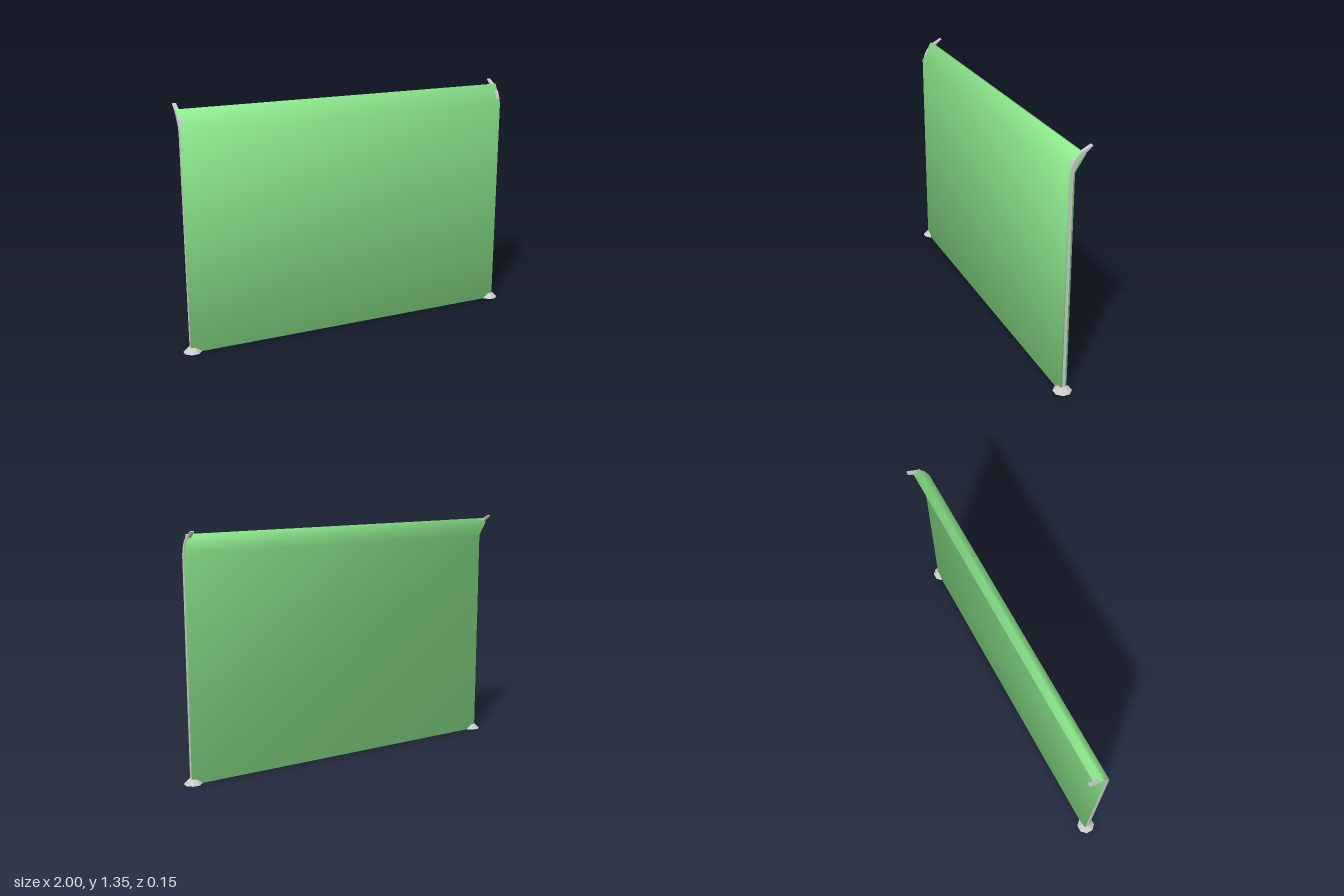
import * as THREE from 'three';

// Panel side profile as [z, y], counter-clockwise seen from +x with z to the right
const PANEL = [[0.045, 0], [0.045, 1.225], [-0.01, 1.33], [-0.045, 1.31], [0.01, 1.225], [0.01, 0]];
const HALF_WIDTH = 0.964;

// Sheet with soft normals shared across all its edges
function panelGeometry() {
  const n = PANEL.length, pos = [], nor = [], idx = [];
  const edgeNormal = (i) => {
    const a = PANEL[(i + n) % n], b = PANEL[(i + 1) % n];
    return new THREE.Vector3(0, -(b[0] - a[0]), b[1] - a[1]).normalize();
  };
  for (const side of [-1, 1]) {
    PANEL.forEach(([z, y], i) => {
      pos.push(side * HALF_WIDTH, y, z);
      const v = edgeNormal(i - 1).add(edgeNormal(i));
      v.x = side;
      nor.push(...v.normalize().toArray());
    });
  }
  for (let i = 0; i < n; i++) {
    const j = (i + 1) % n;
    idx.push(i, n + i, n + j, i, n + j, j);
  }
  // End caps
  const caps = THREE.ShapeUtils.triangulateShape(PANEL.map(([z, y]) => new THREE.Vector2(z, y)), []);
  for (const [a, b, c] of caps) {
    const [p, q, r] = [PANEL[a], PANEL[b], PANEL[c]];
    const ccw = (q[0] - p[0]) * (r[1] - p[1]) - (q[1] - p[1]) * (r[0] - p[0]) > 0;
    const [s, t] = ccw ? [b, c] : [c, b];
    idx.push(a, s, t, n + a, n + t, n + s);
  }
  const g = new THREE.BufferGeometry();
  g.setAttribute('position', new THREE.Float32BufferAttribute(pos, 3));
  g.setAttribute('normal', new THREE.Float32BufferAttribute(nor, 3));
  g.setIndex(idx);
  return g;
}

// Flat upright bar, curving back at the top to a thin tip
function postGeometry() {
  const outline = [
    [0.035, 0], [0.036, 1.22], [0.033, 1.25], [0.0195, 1.28], [0.003, 1.301], [-0.025, 1.325], [-0.075, 1.351],
    [-0.078, 1.346], [-0.032, 1.308], [-0.005, 1.282], [0.011, 1.25], [0.02, 1.21], [0.02, 0],
  ].map(([z, y]) => new THREE.Vector2(z, y));
  const g = new THREE.ExtrudeGeometry(new THREE.Shape(outline), { depth: 0.02, bevelEnabled: false });
  return g.rotateY(-Math.PI / 2).translate(0.01, 0, 0);
}

export function createModel() {
  const model = new THREE.Group();
  const green = new THREE.MeshStandardMaterial({ color: 0x90ee90 });
  const grey = new THREE.MeshStandardMaterial({ color: 0xcccccc });
  const greyFlat = new THREE.MeshStandardMaterial({ color: 0xcccccc, flatShading: true });
  const add = (name, geometry, material, x = 0, y = 0, z = 0) => {
    const mesh = new THREE.Mesh(geometry, material);
    mesh.name = name;
    mesh.position.set(x, y, z);
    model.add(mesh);
  };

  add('panel', panelGeometry(), green);

  // Post and low eight-sided foot at each end
  const post = postGeometry();
  const foot = new THREE.CylinderGeometry(0.022, 0.051, 0.028, 8, 1).rotateY(Math.PI / 8);
  for (const [side, label] of [[1, 'left'], [-1, 'right']]) {
    add(label + 'Post', post, grey, side * 0.957);
    add(label + 'Foot', foot, greyFlat, side * 0.953, 0.014, 0.028);
  }
  return model;
}
